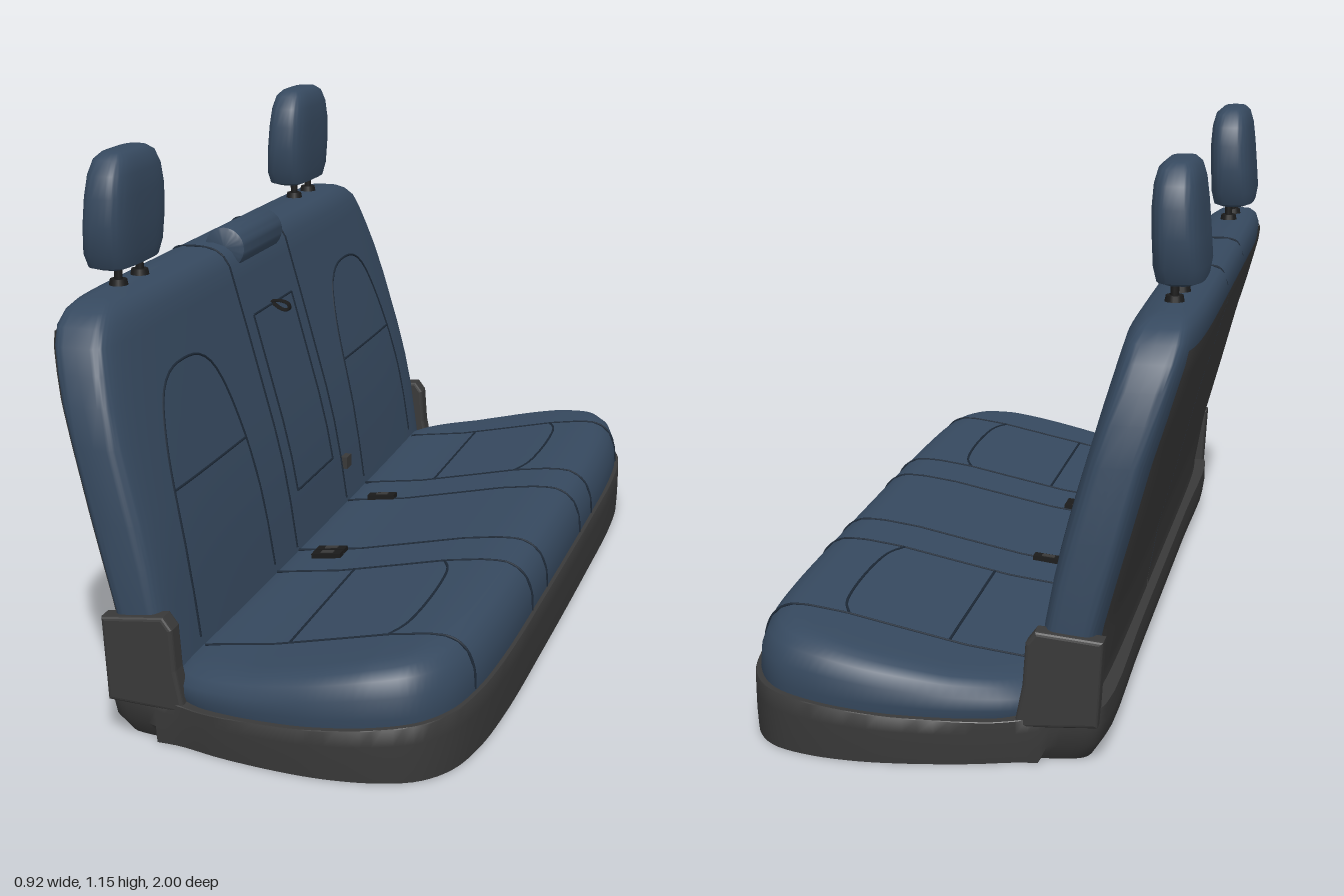
import * as THREE from 'three';
import { toCreasedNormals } from 'three/addons/utils/BufferGeometryUtils.js';

const V = (x, y, z) => new THREE.Vector3(x, y, z);

// Linear interpolation in a table of rows sorted by their first number
function lookup(rows, t) {
  if (t <= rows[0][0]) return rows[0].slice(1);
  for (let i = 1; i < rows.length; i++) {
    const a = rows[i - 1], b = rows[i];
    if (t <= b[0]) return a.slice(1).map((v, k) => v + (b[k + 1] - v) * (t - a[0]) / (b[0] - a[0]));
  }
  return rows[rows.length - 1].slice(1);
}

// Skin over rings of equal length, closed at both ends
function loft(rings, crease = 0.7) {
  const n = rings[0].length, pos = [], idx = [];
  rings.forEach(r => r.forEach(p => pos.push(p.x, p.y, p.z)));
  for (let i = 0; i < rings.length - 1; i++) {
    for (let j = 0; j < n; j++) {
      const a = i * n + j, b = i * n + (j + 1) % n;
      idx.push(a, b, b + n, a, b + n, a + n);
    }
  }
  [0, rings.length - 1].forEach(i => {
    const c = rings[i].reduce((s, p) => s.add(p), V(0, 0, 0)).divideScalar(n);
    const k = pos.length / 3;
    pos.push(c.x, c.y, c.z);
    for (let j = 0; j < n; j++) {
      const a = i * n + j, b = i * n + (j + 1) % n;
      if (i) idx.push(a, b, k); else idx.push(b, a, k);
    }
  });
  const g = new THREE.BufferGeometry();
  g.setAttribute('position', new THREE.Float32BufferAttribute(pos, 3));
  g.setIndex(idx);
  return toCreasedNormals(g, crease);
}

// Upright padded body; rows are [y, front x, back x, half width]
function padded(rows, n, count) {
  const pw = v => Math.sign(v) * Math.pow(Math.abs(v), 2 / n);
  return loft(rows.map(([y, f, b, w]) => Array.from({ length: count }, (_, j) => {
    const t = j / count * Math.PI * 2;
    return V((f + b) / 2 + (f - b) / 2 * pw(Math.cos(t)), y, -w * pw(Math.sin(t)));
  })));
}

const BACK = [
  [0.13, -0.15, -0.285, 0.925], [0.27, -0.17, -0.31, 0.93], [0.36, -0.186, -0.335, 0.928],
  [0.45, -0.207, -0.36, 0.924], [0.6, -0.248, -0.4, 0.914], [0.68, -0.27, -0.425, 0.9],
  [0.74, -0.287, -0.442, 0.881], [0.79, -0.301, -0.456, 0.86], [0.825, -0.311, -0.461, 0.835],
  [0.848, -0.326, -0.456, 0.8], [0.86, -0.343, -0.445, 0.765], [0.867, -0.37, -0.425, 0.72]];
const HEAD = [
  [0.902, -0.375, -0.435, 0.085], [0.91, -0.356, -0.455, 0.11], [0.94, -0.35, -0.46, 0.126],
  [1.0, -0.348, -0.455, 0.137], [1.06, -0.347, -0.45, 0.134], [1.105, -0.35, -0.445, 0.122],
  [1.135, -0.358, -0.437, 0.102], [1.147, -0.372, -0.425, 0.078], [1.15, -0.388, -0.41, 0.05]];
const TOP = [[-0.2, 0.148], [-0.15, 0.153], [0, 0.172], [0.15, 0.203], [0.25, 0.224], [0.33, 0.235], [0.38, 0.237], [0.45, 0.23]];
const RIM = [[-0.32, 0.115], [-0.25, 0.115], [-0.2, 0.103], [-0.15, 0.088], [-0.1, 0.085], [0.1, 0.095], [0.456, 0.125]];
const cushionY = x => lookup(TOP, x)[0];
const backX = (y, z, side) => {
  const [f, b, w] = lookup(BACK, y);
  return (f + b) / 2 + side * (f - b) / 2 * Math.pow(Math.max(0, 1 - Math.abs(z / w) ** 6), 1 / 6);
};

// Closed plan outline, mirrored from the +z half
function plan(half) {
  const pts = [...half.slice().reverse().map(([x, z]) => V(x, 0, -z)), ...half.map(([x, z]) => V(x, 0, z))];
  return new THREE.CatmullRomCurve3(pts, true).getPoints(120).slice(0, -1);
}
const FRONT = [[-0.05, 0.972], [0.08, 0.994], [0.18, 1], [0.28, 0.988], [0.36, 0.955], [0.41, 0.89], [0.438, 0.78], [0.452, 0.6], [0.456, 0.25]];
const inset = (p, i, cx, hx) => V(cx + (p.x - cx) * (1 - i / hx), 0, p.z * (1 - i));

export function createModel() {
  const group = new THREE.Group();
  const mat = (name, color, side = THREE.FrontSide) => {
    const m = new THREE.MeshStandardMaterial({ color, side });
    m.name = name;
    return m;
  };
  const blue = mat('blue upholstery', 0x36495f);
  const grey = mat('grey trim', 0x393939, THREE.DoubleSide);
  const dark = mat('dark seam', 0x1d2937);
  const black = mat('black plastic', 0x1b1b1b);
  const add = (name, geo, m, x = 0, y = 0, z = 0) => {
    const mesh = new THREE.Mesh(geo, m);
    mesh.name = name;
    mesh.position.set(x, y, z);
    group.add(mesh);
    return mesh;
  };
  const tube = (name, pts, r = 0.003, m = dark) =>
    add(name, new THREE.TubeGeometry(new THREE.CatmullRomCurve3(pts), 48, r, 6), m);
  // Seam drawn in two coordinates and laid on a surface
  const seam = (name, pts, map) => tube(name,
    new THREE.CatmullRomCurve3(pts.map(([a, b]) => V(a, b, 0))).getPoints(32).map(p => map(p.x, p.y)));
  const onBack = (y, z) => V(backX(y, z, 1), y, z);
  const onCushion = (x, z) => V(x, cushionY(x), z);

  // Plinth under the seat
  const baseOutline = plan([[-0.31, 0.4], [-0.31, 0.86], [-0.295, 0.92], [-0.24, 0.938], [-0.15, 0.945], ...FRONT]);
  add('base', loft([[0.03, 0], [0.006, 0.35], [0, 0.7], [0, 1], [0.012, 1.02]].map(([i, f]) => baseOutline.map(p => {
    const q = inset(p, p.x < -0.2 ? i : i * 0.1, 0.073, 0.383);
    q.y = f * lookup(RIM, p.x)[0];
    return q;
  })), 0.6), grey);

  // Cushion: rounded rim, then rings closing in over the sloping top
  const seatOutline = plan([[-0.2, 0.4], [-0.2, 0.88], [-0.15, 0.935], ...FRONT]);
  const rings = [[0.02, 0], [0.01, 0.35], [0.013, 0.62], [0.026, 0.83], [0.045, 0.94], [0.068, 0.99], [0.09, 1]]
    .map(([i, f]) => seatOutline.map(p => {
      const q = inset(p, i, 0.128, 0.328);
      q.y = 0.075 + f * (cushionY(q.x) - 0.075);
      return q;
    }));
  const rim = rings[rings.length - 1];
  for (let k = 1; k <= 12; k++) {
    const s = 1 - k / 12.2;
    rings.push(rim.map(p => onCushion(0.128 + (p.x - 0.128) * s, p.z * s)));
  }
  add('cushion', loft(rings), blue);

  // Backrest and its rear panels, divided off centre
  add('backrest', padded(BACK, 6, 128), blue);
  [[-1, -0.193], [-0.187, 1]].forEach(([a, b]) => {
    const g = new THREE.PlaneGeometry(1, 1, 28, 28), p = g.attributes.position;
    for (let i = 0; i < p.count; i++) {
      const y = 0.105 + (p.getY(i) + 0.5) * 0.705, w = lookup(BACK, y)[2] - 0.035;
      const lo = Math.max(a, -w), hi = Math.min(b, w), z = lo + (p.getX(i) + 0.5) * (hi - lo);
      p.setXYZ(i, backX(y, z, -1) - 0.006, y, z);
    }
    g.computeVertexNormals();
    add('rearPanel', g, grey);
  });

  for (const s of [-1, 1]) {
    // Head restraint with two posts
    add('headrest', padded(HEAD, 3.5, 56), blue, 0, 0, s * 0.557);
    for (const d of [-0.055, 0.055]) {
      add('headrestPost', new THREE.CylinderGeometry(0.009, 0.009, 0.07, 12), black, -0.395, 0.885, s * 0.557 + d);
      add('postCollar', new THREE.CylinderGeometry(0.018, 0.021, 0.016, 16), black, -0.395, 0.872, s * 0.557 + d);
    }

    // Hinge cover at the end of the backrest
    const shape = new THREE.Shape([[-0.29, 0.09], [-0.14, 0.08], [-0.157, 0.16], [-0.163, 0.245], [-0.178, 0.265], [-0.3, 0.253]]
      .map(([x, y]) => new THREE.Vector2(x, y)));
    add('hingeCover', new THREE.ExtrudeGeometry(shape, { depth: 0.03, bevelSize: 0.008, bevelThickness: 0.008, bevelSegments: 3 }),
      grey, 0, 0, s * 0.922 - 0.015);

    // Backrest seams
    seam('backPanelSeam', [[0.17, 0.78], [0.35, 0.775], [0.5, 0.755], [0.6, 0.725], [0.66, 0.69], [0.692, 0.64], [0.702, 0.56],
      [0.692, 0.475], [0.66, 0.423], [0.6, 0.388], [0.5, 0.362], [0.35, 0.347], [0.17, 0.34]].map(([y, z]) => [y, z * s]), onBack);
    seam('backCrossSeam', [[0.475, 0.759 * s], [0.475, 0.36 * s]], onBack);
    seam('backDividerSeam', [[0.16, 0.19 * s], [0.848, 0.19 * s]], onBack);
    tube('topDividerSeam', [V(-0.326, 0.848, 0.19 * s), V(-0.343, 0.86, 0.19 * s), V(-0.37, 0.867, 0.19 * s),
      V(-0.425, 0.867, 0.19 * s), V(-0.445, 0.86, 0.19 * s), V(-0.46, 0.825, 0.19 * s)]);

    // Cushion seams, running on down the front edge
    for (const [z, e] of [[0.19, 0.456], [0.34, 0.456], [0.78, 0.437]]) {
      seam('cushionSeam', [[-0.15, z * s], [e - 0.09, z * s]], onCushion);
      tube('cushionFrontSeam', [[0.09, 1], [0.068, 0.99], [0.045, 0.94], [0.026, 0.83], [0.013, 0.62], [0.01, 0.35]]
        .map(([i, f]) => V(e - i, 0.075 + f * (cushionY(e - i) - 0.075), z * s)));
    }
    seam('cushionCrossSeam', [[0.035, 0.34 * s], [0.035, 0.78 * s]], onCushion);
    seam('cushionFrontPanelSeam', [[0.245, 0.34 * s], [0.265, 0.39 * s], [0.275, 0.48 * s], [0.275, 0.64 * s], [0.265, 0.73 * s], [0.245, 0.78 * s]], onCushion);
  }

  // Folding armrest outline
  for (const s of [-1, 1]) seam('armrestSideSeam', [[0.28, 0.132 * s], [0.7, 0.132 * s]], onBack);
  for (const y of [0.28, 0.7]) seam('armrestEndSeam', [[y, -0.132], [y, 0.132]], onBack);

  // Pull strap
  const strap = tube('pullStrap', [V(-0.28, 0.705, 0), V(-0.255, 0.707, 0), V(-0.236, 0.7, 0), V(-0.234, 0.688, 0),
    V(-0.25, 0.686, 0), V(-0.278, 0.702, 0)], 0.003, black);
  strap.scale.z = 4;

  // Low centre head roll
  const roll = new THREE.LatheGeometry([[0, -0.135], [0.042, -0.135], [0.048, -0.131], [0.05, -0.123],
    [0.05, 0.123], [0.048, 0.131], [0.042, 0.135], [0, 0.135]].map(([r, y]) => new THREE.Vector2(r, y)), 40);
  add('centreHeadRoll', toCreasedNormals(roll.rotateX(Math.PI / 2), 0.7), blue, -0.345, 0.855, 0);

  // Belt buckles and the belt guide in the backrest
  for (const z of [-0.2, 0.207, 0.24]) {
    const b = add('beltBuckle', new THREE.BoxGeometry(0.07, 0.018, 0.027), black, -0.062, cushionY(-0.062) + 0.002, z);
    b.rotation.z = 0.11;
    add('buckleSlot', new THREE.BoxGeometry(0.03, 0.004, 0.014), grey, -0.062, cushionY(-0.062) + 0.011, z).rotation.z = 0.11;
  }
  add('beltGuide', new THREE.BoxGeometry(0.025, 0.03, 0.036), grey, -0.165, 0.25, -0.21);

  return group;
}
